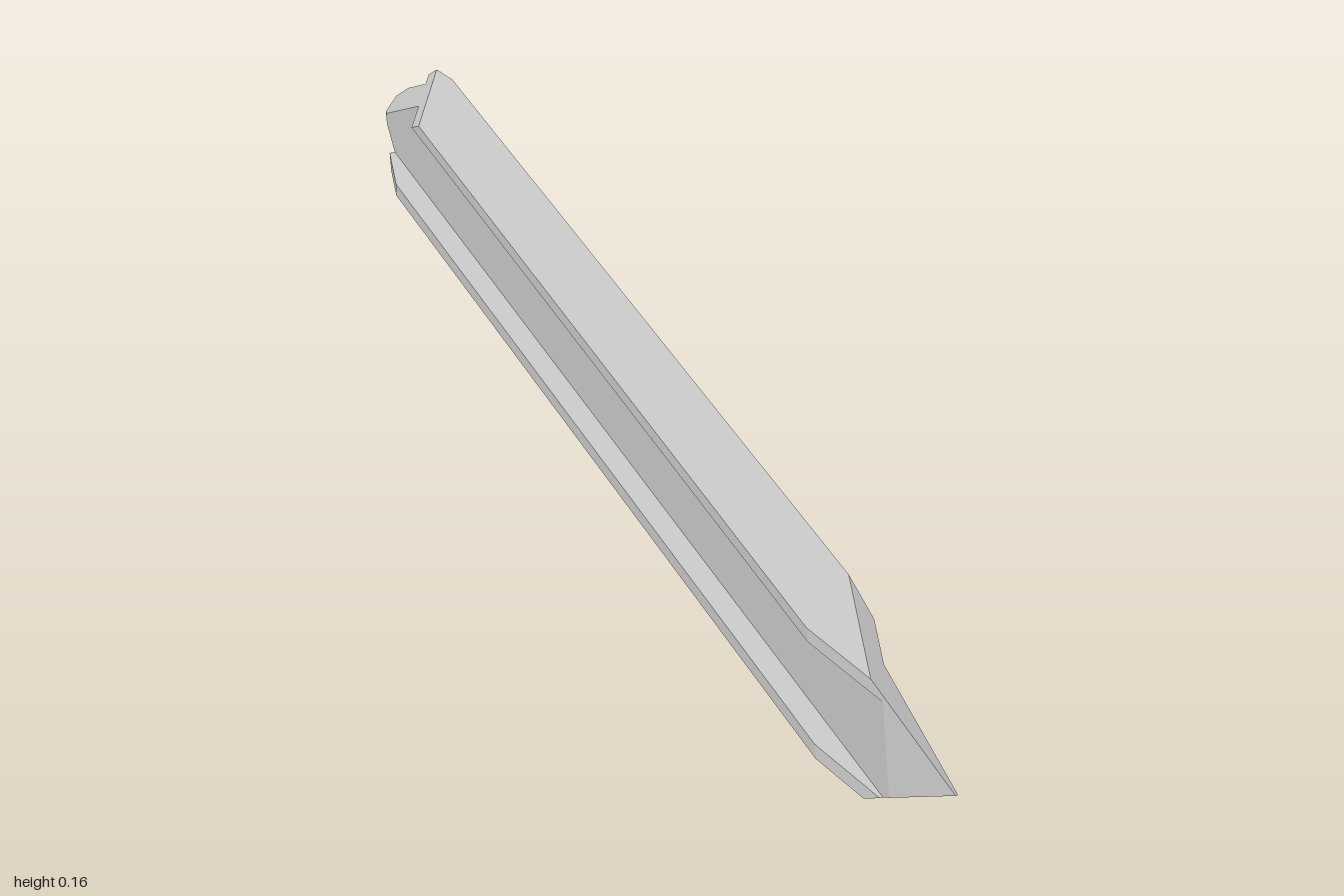
import * as THREE from 'three';
import { ConvexGeometry } from 'three/addons/geometries/ConvexGeometry.js';

// Broken-end facets: each is the plane z = a + b*x + c*y
const frontCuts = [
  [1.5045, -3.38, -4.64], // upper, sloping to the left side
  [0.9627, 4.91, -0.216], // right side
  [0.83, 0, 1.7],         // underside
  [0.9, -2.8, 1.7],       // lower left corner
];
const backCuts = [
  [-1.129, -2, 1.89],     // upper
  [-0.92, 0, -1.14],      // underside
  [-1.0435, -4.3, 0],     // right side
  [-1.04, 4, 0],          // left side
];

const plane = (x, y, z, d) => ({ n: new THREE.Vector3(x, y, z), d });

// Solid bar bounded by four sides and all the end facets
function cutBar(x0, x1, y0, y1) {
  const planes = [
    plane(1, 0, 0, x1), plane(-1, 0, 0, -x0),
    plane(0, 1, 0, y1), plane(0, -1, 0, -y0),
    ...frontCuts.map(([a, b, c]) => plane(-b, -c, 1, a)),
    ...backCuts.map(([a, b, c]) => plane(b, c, -1, -a)),
  ];
  const corners = [];
  // Corners are the triple intersections lying inside every plane
  for (let i = 0; i < planes.length; i++)
    for (let j = i + 1; j < planes.length; j++)
      for (let k = j + 1; k < planes.length; k++) {
        const [p, q, r] = [planes[i], planes[j], planes[k]];
        const qr = q.n.clone().cross(r.n);
        const det = p.n.dot(qr);
        if (Math.abs(det) < 1e-6) continue;
        const v = qr.multiplyScalar(p.d)
          .addScaledVector(r.n.clone().cross(p.n), q.d)
          .addScaledVector(p.n.clone().cross(q.n), r.d)
          .divideScalar(det);
        const inside = planes.every((s) => s.n.dot(v) <= s.d + 1e-6);
        if (inside && !corners.some((c) => c.distanceTo(v) < 1e-5)) corners.push(v);
      }
  return new ConvexGeometry(corners);
}

export function createModel() {
  const group = new THREE.Group();
  group.name = 'brokenBeam';
  const material = new THREE.MeshStandardMaterial({ color: 0xcccccc, flatShading: true });

  // I-section: two flanges joined by a web
  const parts = {
    bottomFlange: [-0.047, 0.046, 0, 0.018],
    web: [-0.016, 0.017, 0.018, 0.144],
    topFlange: [-0.047, 0.046, 0.144, 0.161],
  };
  for (const [name, bounds] of Object.entries(parts)) {
    const mesh = new THREE.Mesh(cutBar(...bounds), material);
    mesh.name = name;
    group.add(mesh);
  }
  return group;
}
